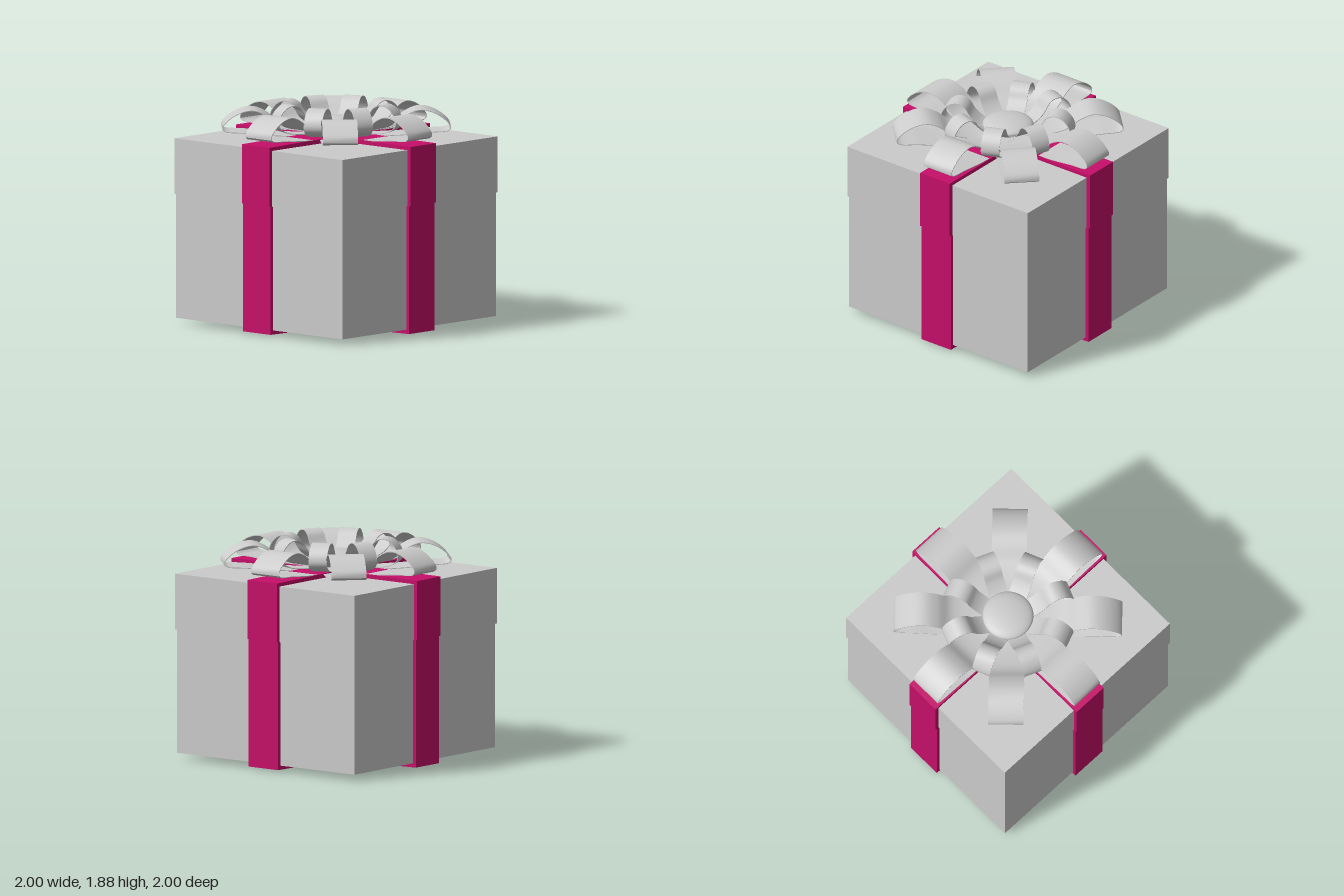
import * as THREE from 'three';
import { toCreasedNormals } from 'three/addons/utils/BufferGeometryUtils.js';

const grey = new THREE.MeshStandardMaterial({ color: 0xcccccc });
const bowGrey = new THREE.MeshStandardMaterial({ color: 0xcccccc, side: THREE.DoubleSide });
const magenta = new THREE.MeshStandardMaterial({ color: 0xc60f69 });

const toVectors = (pairs) => pairs.map(([x, y]) => new THREE.Vector2(x, y));

function add(parent, name, geometry, material) {
  const mesh = new THREE.Mesh(geometry, material);
  mesh.name = name;
  parent.add(mesh);
  return mesh;
}

// Extrude an x/y outline along z, centred on z = 0
function extrudeCentred(shape, width) {
  return new THREE.ExtrudeGeometry(shape, { depth: width, bevelEnabled: false })
    .translate(0, 0, -width / 2);
}

// Thin closed band following a smooth radial profile (x = distance from centre)
function loopGeometry(profile, width, thickness = 0.006) {
  const curve = new THREE.CatmullRomCurve3(
    profile.map(([r, y]) => new THREE.Vector3(r, y, 0)), true, 'centripetal');
  const outer = [], inner = [];
  const n = 64;
  for (let i = 0; i < n; i++) {
    const p = curve.getPointAt(i / n), t = curve.getTangentAt(i / n);
    outer.push(new THREE.Vector2(p.x, p.y));
    inner.push(new THREE.Vector2(p.x + t.y * thickness, p.y - t.x * thickness));
  }
  const shape = new THREE.Shape(outer);
  shape.holes.push(new THREE.Path(inner));
  return toCreasedNormals(extrudeCentred(shape, width), 0.7);
}

export function createModel() {
  const model = new THREE.Group();
  model.name = 'giftBox';

  // Box body and overlapping lid
  add(model, 'boxBody', new THREE.BoxGeometry(1.91, 1.06, 1.91).translate(0, 0.58, 0), grey);
  add(model, 'boxLid', new THREE.BoxGeometry(1.93, 0.475, 1.93).translate(0, 1.3425, 0), grey);

  // Crossed ribbons: one U-shaped band around the body, one over the lid
  const bodyBand = extrudeCentred(new THREE.Shape(toVectors([
    [-0.985, 1.105], [-0.985, 0.015], [0, 0], [0.985, 0.015], [0.985, 1.105],
    [0.95, 1.105], [0.95, 0.055], [-0.95, 0.055], [-0.95, 1.105],
  ])), 0.316);
  const lidBand = extrudeCentred(new THREE.Shape(toVectors([
    [-1, 1.105], [-0.96, 1.105], [-0.96, 1.575], [0.96, 1.575], [0.96, 1.105],
    [1, 1.105], [1, 1.61], [0, 1.62], [-1, 1.61],
  ])), 0.316);
  for (let i = 0; i < 2; i++) {
    add(model, 'bodyRibbon', bodyBand, magenta).rotation.y = i * Math.PI / 2;
    add(model, 'lidRibbon', lidBand, magenta).rotation.y = i * Math.PI / 2;
  }

  // Bow: eight large loops with eight smaller ones between them
  const bow = new THREE.Group();
  bow.name = 'bow';
  model.add(bow);
  const largeLoop = loopGeometry([
    [0.04, 1.66], [0.3, 1.67], [0.48, 1.71], [0.59, 1.79], [0.69, 1.83], [0.78, 1.823],
    [0.89, 1.77], [0.965, 1.69], [0.955, 1.655], [0.77, 1.635], [0.5, 1.612], [0.04, 1.62],
  ], 0.297);
  const smallLoop = loopGeometry([
    [0.03, 1.68], [0.2, 1.7], [0.3, 1.77], [0.36, 1.855], [0.42, 1.882], [0.49, 1.865],
    [0.555, 1.79], [0.565, 1.71], [0.5, 1.655], [0.3, 1.63], [0.03, 1.635],
  ], 0.162);
  for (let i = 0; i < 8; i++) {
    add(bow, 'largeLoop', largeLoop, bowGrey).rotation.y = i * Math.PI / 4;
    add(bow, 'smallLoop', smallLoop, bowGrey).rotation.y = (i + 0.5) * Math.PI / 4;
  }

  // Flattened button in the middle of the bow
  const button = add(bow, 'bowCentre', new THREE.SphereGeometry(0.215, 40, 20), grey);
  button.scale.y = 0.28;
  button.position.y = 1.71;

  return model;
}
